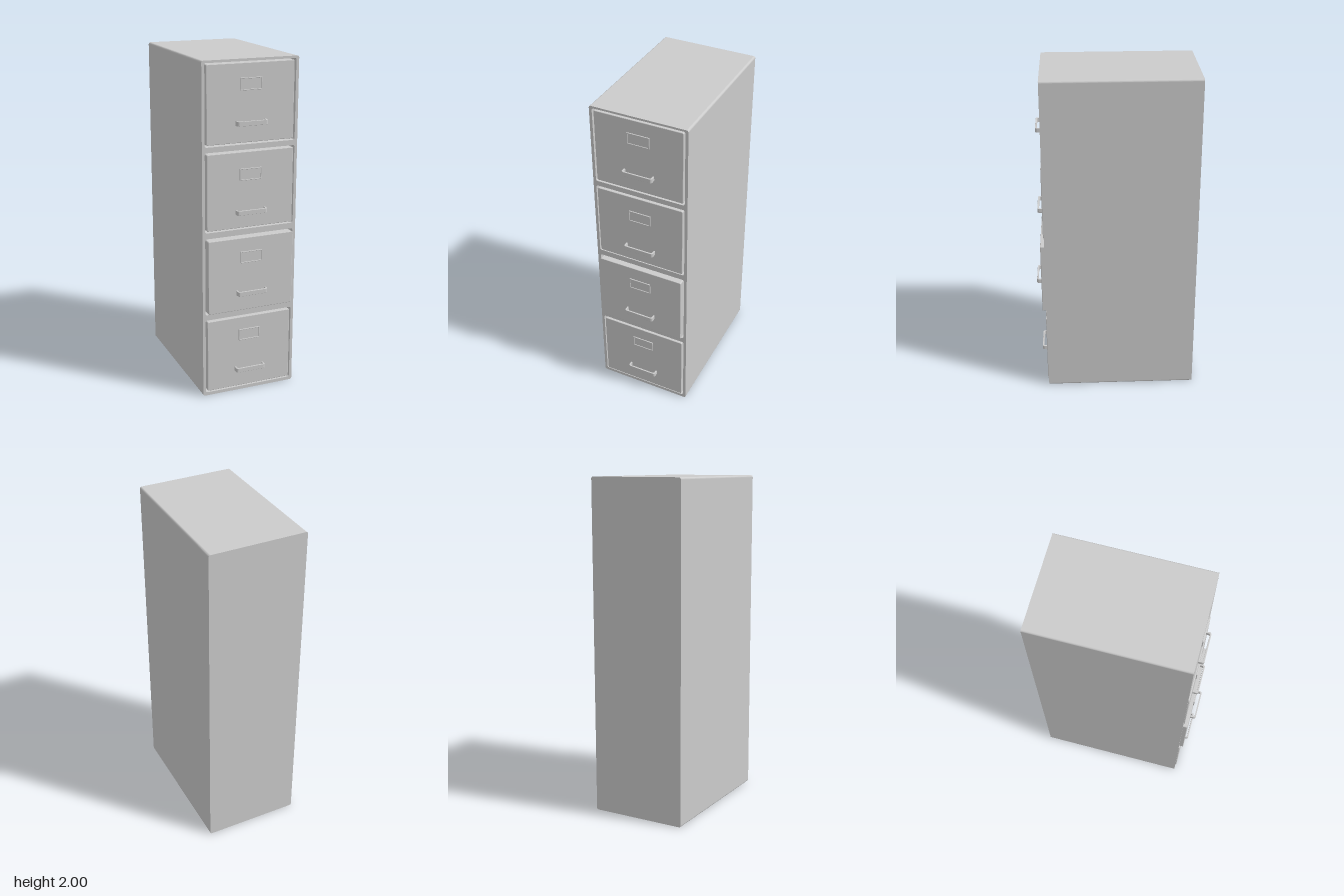
import * as THREE from 'three';

const material = new THREE.MeshStandardMaterial({ color: 0xcccccc });

// Rounded rectangle outline centred on (x, y)
function roundRect(w, h, r, Type = THREE.Shape, x = 0, y = 0) {
  const s = new Type();
  const a = w / 2 - r, b = h / 2 - r;
  s.absarc(x + a, y + b, r, 0, Math.PI / 2);
  s.absarc(x - a, y + b, r, Math.PI / 2, Math.PI);
  s.absarc(x - a, y - b, r, Math.PI, Math.PI * 1.5);
  s.absarc(x + a, y - b, r, Math.PI * 1.5, Math.PI * 2);
  s.closePath();
  return s;
}

function extrude(name, shape, depth, z, bevel = 0) {
  const geometry = new THREE.ExtrudeGeometry(shape, {
    depth: depth - 2 * bevel, curveSegments: 5, bevelEnabled: bevel > 0,
    bevelSize: bevel, bevelOffset: -bevel, bevelThickness: bevel, bevelSegments: 2,
  });
  geometry.translate(0, 0, z + bevel);
  const mesh = new THREE.Mesh(geometry, material);
  mesh.name = name;
  return mesh;
}

const WIDTH = 0.586, HEIGHT = 2, BACK = -0.485, FRONT = 0.425, RECESS = 0.06;

// Opening bottom/top, front plane of the drawer, label and handle heights
const drawers = [
  { name: 'bottomDrawer', y0: 0.02, y1: 0.487, z: 0.431, label: 0.364, handle: 0.146 },
  { name: 'lowerMiddleDrawer', y0: 0.52, y1: 0.988, z: 0.45, label: 0.86, handle: 0.644 },
  { name: 'upperMiddleDrawer', y0: 1.023, y1: 1.49, z: 0.431, label: 1.349, handle: 1.131 },
  { name: 'topDrawer', y0: 1.521, y1: 1.988, z: 0.426, label: 1.861, handle: 1.645 },
];

// Bow handle: a flat strip bent into a U, extruded upwards
function makeHandle() {
  const w = 0.093, d = 0.035, t = 0.009, r = 0.014, q = r - t / 2;
  const s = new THREE.Shape();
  s.moveTo(-w, 0);
  s.lineTo(-w, d - r);
  s.quadraticCurveTo(-w, d, -w + r, d);
  s.lineTo(w - r, d);
  s.quadraticCurveTo(w, d, w, d - r);
  s.lineTo(w, 0);
  s.lineTo(w - t, 0);
  s.lineTo(w - t, d - t - q);
  s.quadraticCurveTo(w - t, d - t, w - t - q, d - t);
  s.lineTo(-w + t + q, d - t);
  s.quadraticCurveTo(-w + t, d - t, -w + t, d - t - q);
  s.lineTo(-w + t, 0);
  s.closePath();
  const handle = extrude('handle', s, 0.027, -0.0135, 0.0015);
  handle.rotation.x = Math.PI / 2;
  handle.scale.z = -1; // symmetric strip, keeps its outward bow
  handle.scale.z = 1;
  return handle;
}

function makeDrawer(d) {
  const drawer = new THREE.Group();
  drawer.name = d.name;
  const y = (d.y0 + d.y1) / 2;

  // Front panel, set in its opening with a narrow gap all round
  const back = FRONT - RECESS;
  const panel = extrude('drawerFront', roundRect(0.532, d.y1 - d.y0 - 0.021, 0.008), d.z - back, back, 0.003);
  panel.position.y = y;

  // Label holder: thin raised frame around a card
  const outline = roundRect(0.136, 0.07, 0.003);
  outline.holes.push(roundRect(0.124, 0.058, 0.002, THREE.Path));
  const frame = extrude('labelFrame', outline, 0.007, d.z - 0.001, 0.0015);
  const card = extrude('labelCard', roundRect(0.126, 0.06, 0.002), 0.003, d.z - 0.001);
  frame.position.y = card.position.y = d.label;

  const handle = makeHandle();
  handle.position.set(0, d.handle, d.z - 0.0005);

  drawer.add(panel, frame, card, handle);
  return drawer;
}

export function createModel() {
  const model = new THREE.Group();
  model.name = 'filingCabinet';

  // Solid carcass behind a front frame with four openings
  const shell = () => roundRect(WIDTH, HEIGHT, 0.012, THREE.Shape, 0, HEIGHT / 2);
  const carcass = extrude('carcass', shell(), FRONT - RECESS - BACK, BACK);
  const face = shell();
  for (const d of drawers) {
    face.holes.push(roundRect(0.552, d.y1 - d.y0, 0.012, THREE.Path, 0, (d.y0 + d.y1) / 2));
  }
  model.add(carcass, extrude('frontFrame', face, RECESS, FRONT - RECESS));

  for (const d of drawers) model.add(makeDrawer(d));
  return model;
}
